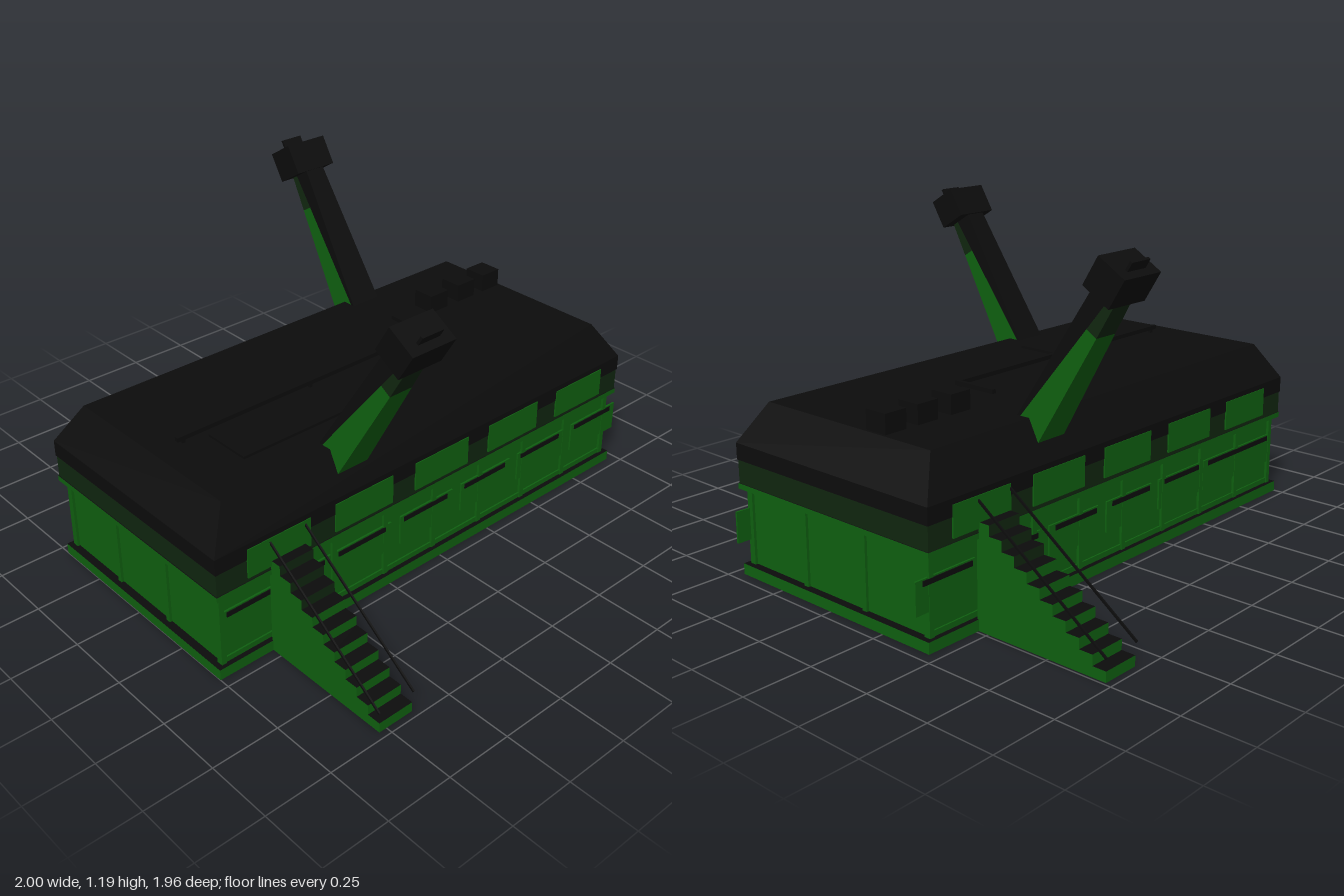
import * as THREE from 'three';

const material = (name, color) => {
  const m = new THREE.MeshStandardMaterial({ color });
  m.name = name;
  return m;
};

export function createModel() {
  const black = material('black', 0x0c0c0c);
  const green = material('green', 0x0f6010);
  const darkGreen = material('dark green', 0x10260f);
  const model = new THREE.Group();
  model.name = 'building';

  const add = (parent, name, geometry, mat) => {
    const mesh = new THREE.Mesh(geometry, mat);
    mesh.name = name;
    parent.add(mesh);
    return mesh;
  };
  // Box given by its limits on each axis
  const box = (parent, name, mat, x0, x1, y0, y1, z0, z1) => {
    const mesh = add(parent, name, new THREE.BoxGeometry(x1 - x0, y1 - y0, z1 - z0), mat);
    mesh.position.set((x0 + x1) / 2, (y0 + y1) / 2, (z0 + z1) / 2);
    return mesh;
  };
  // Six-sided block whose top and bottom are different rectangles: [x0, x1, z0, z1]
  const taper = (parent, name, mat, y0, y1, bottom, top) => {
    const g = new THREE.BoxGeometry(1, 1, 1);
    const p = g.attributes.position;
    for (let i = 0; i < p.count; i++) {
      const up = p.getY(i) > 0;
      const r = up ? top : bottom;
      p.setXYZ(i, r[p.getX(i) > 0 ? 1 : 0], up ? y1 : y0, r[p.getZ(i) > 0 ? 3 : 2]);
    }
    g.computeVertexNormals();
    return add(parent, name, g, mat);
  };
  const blackCaps = [green, green, black, black, green, green];

  // Base, walls and roof
  box(model, 'base', blackCaps, -1, 0.96, 0, 0.04, -0.46, 0.46);
  box(model, 'walls', green, -0.97, 0.93, 0.04, 0.32, -0.435, 0.435);
  box(model, 'roofTrim', blackCaps, -1, 0.96, 0.315, 0.335, -0.465, 0.465);
  box(model, 'roofBand', darkGreen, -0.997, 0.957, 0.335, 0.42, -0.462, 0.462);
  box(model, 'roofEdge', black, -1, 0.96, 0.42, 0.48, -0.465, 0.465);
  taper(model, 'roof', black, 0.48, 0.62, [-1, 0.96, -0.465, 0.465], [-0.91, 0.87, -0.39, 0.39]);

  // Wall posts, windows and upper panels on both long sides
  for (const s of [-1, 1]) {
    const plate = (name, mat, x0, x1, y0, y1, inner, outer) =>
      box(model, name, mat, x0, x1, y0, y1, Math.min(s * inner, s * outer), Math.max(s * inner, s * outer));
    for (let i = 0; i <= 8; i++) {
      const x = -0.97 + i * 0.2375;
      plate('wallPost', green, x - 0.01, x + 0.01, 0.04, 0.315, 0.43, 0.445);
    }
    plate('wallSill', green, -0.97, 0.93, 0.04, 0.06, 0.43, 0.441);
    for (const x of [-0.835, -0.64, -0.36, -0.055, 0.25, 0.555, 0.865]) {
      plate('window', green, x - 0.13, Math.min(x + 0.13, 1), 0.13, 0.245, 0.436, 0.443);
      plate('windowStrip', black, x - 0.115, x + 0.1, 0.222, 0.24, 0.438, 0.447);
    }
    for (let i = 0; i < 5; i++) {
      const x = -0.745 + i * 0.3675;
      plate('upperPanel', green, x - 0.13, x + 0.13, 0.35, 0.46, 0.461, 0.468);
    }
  }

  // Posts on the end walls
  for (const x of [-0.97, 0.93])
    for (const z of [-0.43, -0.145, 0.145, 0.43])
      box(model, 'endPost', green, x - 0.01, x + 0.01, 0.04, 0.315, z - 0.01, z + 0.01);

  // Roof pipe, hatch and vents
  box(model, 'roofPipe', black, -0.82, 0.33, 0.632, 0.648, 0.024, 0.04);
  box(model, 'roofPipe', black, 0.314, 0.33, 0.632, 0.648, -0.14, 0.03);
  for (const x of [-0.8, -0.25, 0.31]) box(model, 'pipeFoot', black, x, x + 0.012, 0.615, 0.635, 0.026, 0.038);
  box(model, 'roofHatch', black, -0.71, -0.25, 0.615, 0.63, 0.06, 0.25);
  for (const x of [0.48, 0.63, 0.77]) box(model, 'roofVent', black, x, x + 0.09, 0.615, 0.69, -0.18, -0.09);

  // One staircase and one leaning tower per long side, turned half a circle
  for (const back of [false, true]) {
    const side = new THREE.Group();
    side.name = back ? 'backStairsAndTower' : 'frontStairsAndTower';
    if (back) {
      side.rotation.y = Math.PI;
      side.position.x = -0.04;
    }
    model.add(side);

    for (let i = 0; i < 10; i++) {
      const z1 = 0.975 - i * 0.052;
      const riser = i > 6 ? darkGreen : green;
      box(side, 'stairStep', [green, green, black, black, riser, green],
        -0.78, -0.64, 0, 0.037 * (i + 1), z1 - 0.052, z1);
    }
    for (const x of [-0.783, -0.637]) {
      const rail = add(side, 'stairRail', new THREE.BoxGeometry(0.006, 0.008, 0.638), black);
      rail.position.set(x, 0.265, 0.718);
      rail.rotation.x = 0.618;
    }

    const tower = new THREE.Group();
    tower.name = 'leaningTower';
    tower.position.set(-0.4, 0.575, 0.38);
    tower.rotation.x = 0.55;
    side.add(tower);
    taper(tower, 'towerBack', black, 0, 0.62,
      [-0.065, 0.065, -0.06, -0.05], [-0.04, 0.04, -0.05, 0.025]);
    taper(tower, 'towerFront', green, 0, 0.44,
      [-0.065, 0.065, -0.05, 0.06], [-0.047, 0.047, 0.003, 0.05]);
    taper(tower, 'towerNeck', darkGreen, 0.44, 0.62,
      [-0.047, 0.047, 0.003, 0.05], [-0.04, 0.04, 0.025, 0.045]);
    box(tower, 'towerHead', black, -0.09, 0.09, 0.575, 0.69, -0.06, 0.06);
    box(tower, 'headFin', black, -0.045, 0.045, 0.68, 0.725, 0.02, 0.03);
  }
  return model;
}
